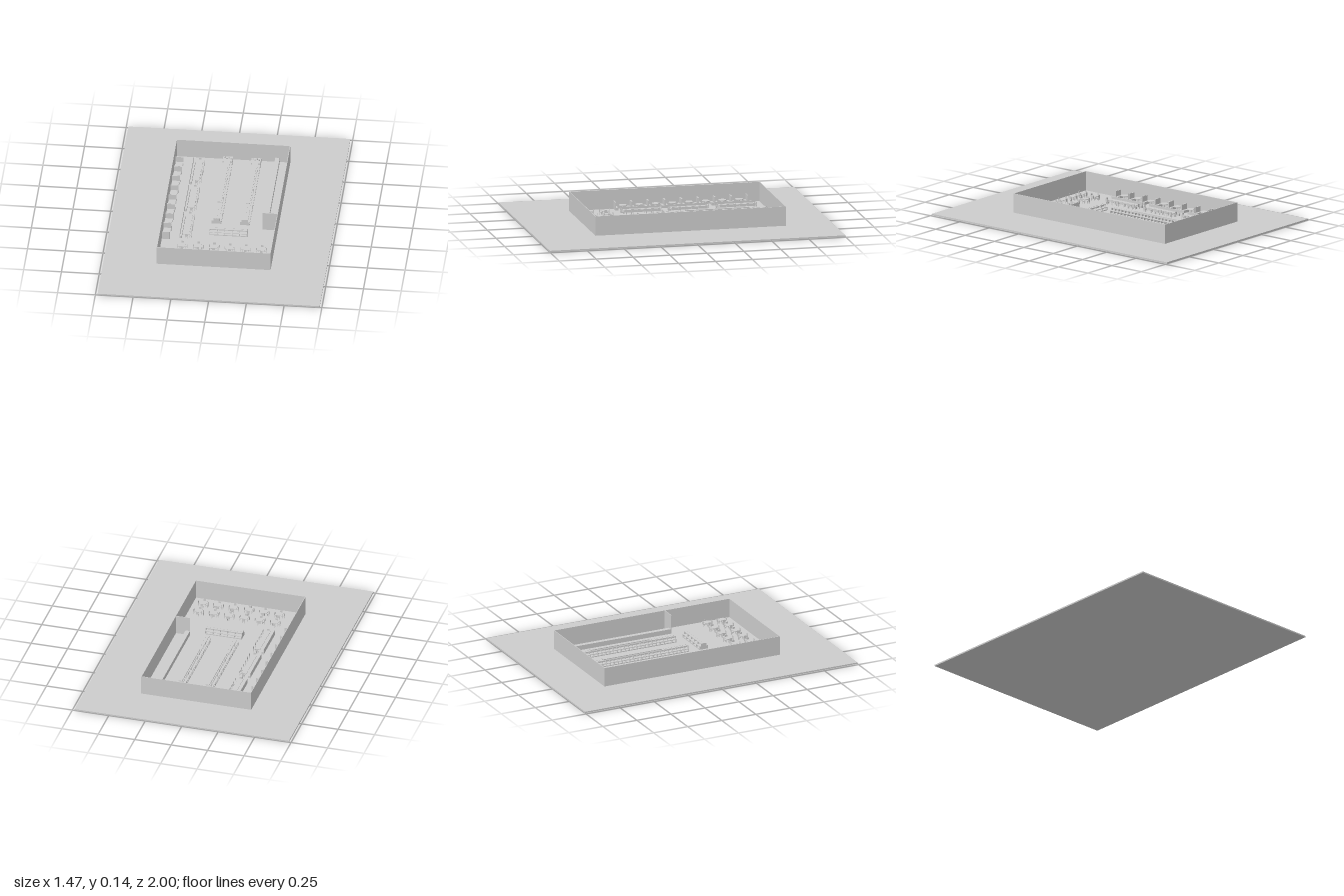
import * as THREE from 'three';

const material = new THREE.MeshStandardMaterial({ color: 0xcccccc, flatShading: true });
const FLOOR = 0.01;

// Box given by its centre in plan, its base height and its size
function box(parent, name, x, y, z, w, h, d) {
  const mesh = new THREE.Mesh(new THREE.BoxGeometry(w, h, d), material);
  mesh.name = name;
  mesh.position.set(x, y + h / 2, z);
  parent.add(mesh);
  return mesh;
}

function cylinder(parent, name, x, y, z, r, h, sides) {
  const mesh = new THREE.Mesh(new THREE.CylinderGeometry(r, r, h, sides), material);
  mesh.name = name;
  mesh.position.set(x, y + h / 2, z);
  parent.add(mesh);
  return mesh;
}

function group(parent, name, x = 0, z = 0, turn = 0) {
  const g = new THREE.Group();
  g.name = name;
  g.position.set(x, FLOOR, z);
  g.rotation.y = turn;
  parent.add(g);
  return g;
}

// Small chair; its back stands on the local +x side
function chair(parent, x, z, turn) {
  const g = new THREE.Group();
  g.name = 'chair';
  g.position.set(x, 0, z);
  g.rotation.y = turn;
  parent.add(g);
  box(g, 'chairSeat', 0, 0.016, 0, 0.016, 0.003, 0.017);
  box(g, 'chairBack', 0.007, 0.019, 0, 0.002, 0.017, 0.017);
  for (const sx of [-1, 1]) for (const sz of [-1, 1]) {
    box(g, 'chairLeg', sx * 0.006, 0, sz * 0.006, 0.002, 0.016, 0.002);
  }
}

// Square table with one chair on each side
function diningSet(parent, x, z) {
  const g = group(parent, 'diningSet', x, z);
  box(g, 'tableTop', 0, 0.025, 0, 0.044, 0.003, 0.044);
  cylinder(g, 'tableLeg', 0, 0, 0, 0.003, 0.025, 8);
  for (let i = 0; i < 4; i++) {
    const a = i * Math.PI / 2;
    chair(g, Math.cos(a) * 0.026, -Math.sin(a) * 0.026, a);
  }
}

// Long table with a wall bench on one side and chairs on the other
function longTable(parent, z) {
  const g = group(parent, 'longTable', 0, z);
  box(g, 'benchSeat', -0.257, 0, 0, 0.012, 0.017, 0.265);
  box(g, 'benchBack', -0.265, 0, 0, 0.003, 0.036, 0.265);
  box(g, 'tableTop', -0.22, 0.025, 0, 0.036, 0.003, 0.25);
  for (let i = 0; i < 6; i++) {
    const t = (i - 2.5) * 0.045;
    chair(g, -0.196, t, 0);
    box(g, 'tableLeg', -0.22, 0, t, 0.004, 0.025, 0.004);
  }
  chair(g, -0.22, -0.127, Math.PI / 2);
  chair(g, -0.22, 0.127, -Math.PI / 2);
}

// Double-sided open shelving running along local z
function shelving(parent, x, z, length, bays, turn = 0) {
  const g = group(parent, 'shelving', x, z, turn);
  box(g, 'spine', 0, 0, 0, 0.008, 0.042, length);
  box(g, 'plinth', 0, 0, 0, 0.064, 0.006, length);
  for (const s of [-1, 1]) {
    box(g, 'lowerShelf', s * 0.018, 0.02, 0, 0.028, 0.003, length);
    box(g, 'upperShelf', s * 0.012, 0.038, 0, 0.018, 0.003, length);
    for (let i = 0; i <= bays; i++) {
      const t = (i / bays - 0.5) * (length - 0.003);
      box(g, 'shelfDivider', s * 0.018, 0.006, t, 0.028, 0.014, 0.003);
      box(g, 'shelfPost', s * 0.012, 0.023, t, 0.018, 0.015, 0.003);
    }
  }
  return g;
}

export function createModel() {
  const root = new THREE.Group();
  root.name = 'diningHall';

  // Ground slab and roofless outer walls
  box(root, 'ground', 0, 0, 0, 1.47, FLOOR, 2);
  const x0 = -0.385, x1 = 0.37, z0 = -0.685, z1 = 0.605, t = 0.004, wallH = 0.13;
  const cx = (x0 + x1) / 2, cz = (z0 + z1) / 2;
  const walls = group(root, 'walls');
  for (const [name, z] of [['backWall', z0 + t / 2], ['frontWall', z1 - t / 2]]) {
    box(walls, name, cx, 0, z, x1 - x0, wallH, t);
  }
  for (const [name, x] of [['rightWall', x0 + t / 2], ['leftWall', x1 - t / 2]]) {
    box(walls, name, x, 0, cz, t, wallH, z1 - z0 - 2 * t);
  }

  // Service counter along the left wall, closed by a full-height partition
  const service = group(root, 'serviceArea');
  box(service, 'counter', 0.285, 0, -0.278, 0.03, 0.032, 0.806);
  box(service, 'partition', 0.318, 0, 0.128, 0.097, wallH, 0.004);

  // Booths along the right wall: round tables between facing seats
  for (let i = 0; i < 8; i++) {
    const g = group(root, 'booth', -0.354, -0.537 + i * 0.1125);
    cylinder(g, 'boothTable', 0, 0.027, 0, 0.026, 0.003, 16);
    cylinder(g, 'boothTableLeg', 0, 0, 0, 0.004, 0.027, 8);
    for (const s of [-1, 1]) {
      box(g, 'boothSeat', 0, 0, s * 0.043, 0.052, 0.018, 0.016);
      box(g, 'boothBack', 0, 0, s * 0.0535, 0.052, 0.055, 0.004);
    }
  }

  // Long tables
  for (const z of [-0.49, -0.165, 0.155]) longTable(root, z);

  // Two long shelving rows, each with a raised middle and a stand at the back end
  for (const x of [-0.04, 0.147]) {
    const row = shelving(root, x, -0.255, 0.69, 24);
    box(row, 'raisedTop', 0, 0.041, -0.06, 0.026, 0.006, 0.43);
    const stand = group(root, 'displayStand', x, -0.64);
    box(stand, 'standBase', 0, 0, 0, 0.064, 0.028, 0.06);
    for (let i = 0; i < 4; i++) {
      cylinder(stand, 'standItem', -0.021 + i * 0.014, 0.028, (i % 2) * 0.012 - 0.012, 0.004, 0.01, 8);
    }
  }

  // Shorter shelving row across the hall
  shelving(root, 0.052, 0.198, 0.25, 5, Math.PI / 2);

  // Two rows of four-seat tables at the front
  for (const z of [0.402, 0.508]) {
    for (let i = 0; i < 6; i++) diningSet(root, -0.235 + i * 0.105, z);
  }

  return root;
}
